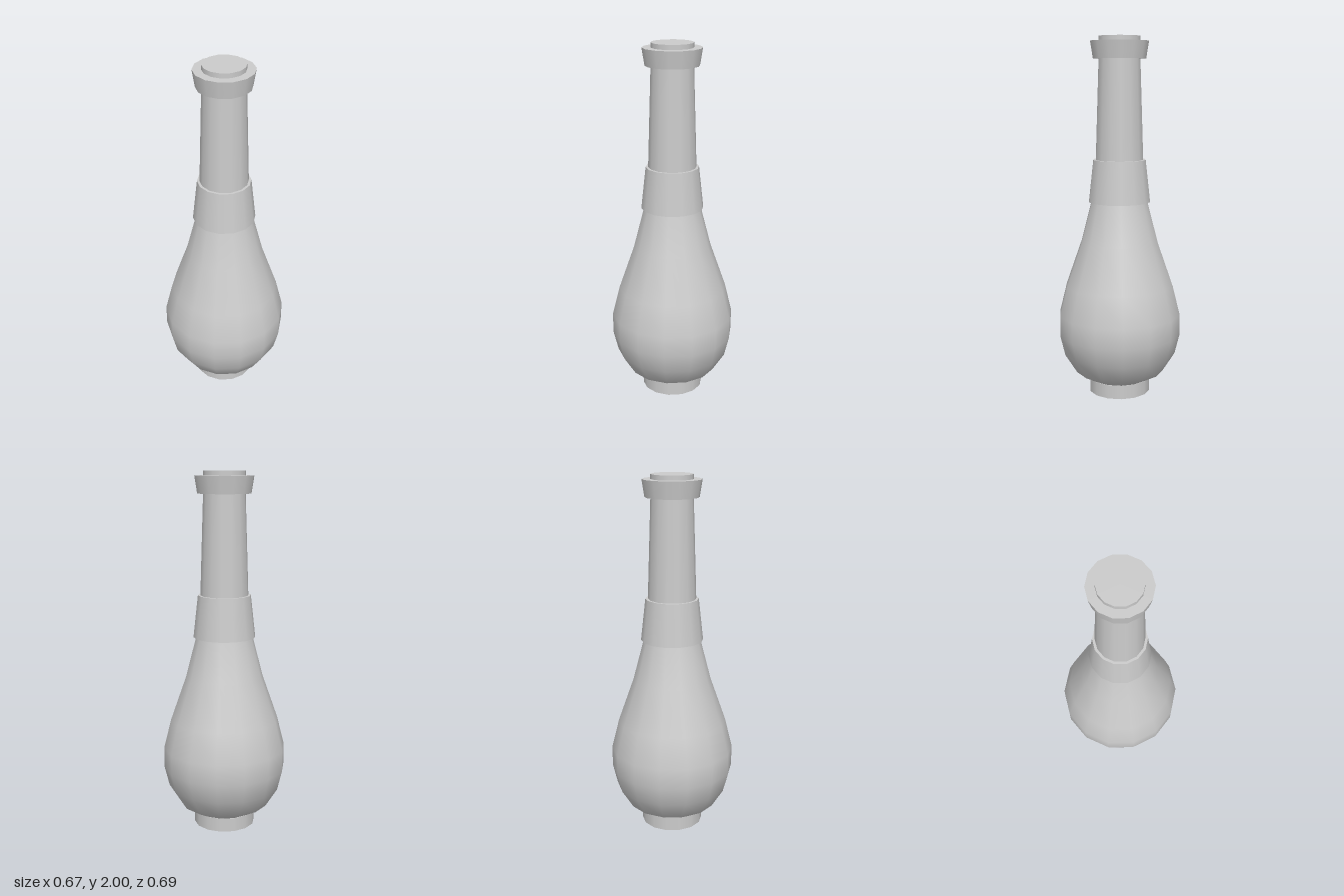
import * as THREE from 'three';

const SIDES = 14;

export function createModel() {
  const model = new THREE.Group();
  const material = new THREE.MeshStandardMaterial({ color: 0xcccccc });

  const add = (name, geometry, y = 0) => {
    const mesh = new THREE.Mesh(geometry, material);
    mesh.name = name;
    mesh.position.y = y;
    model.add(mesh);
  };
  // Capped, tapered ring or plug between two heights
  const band = (name, y0, r0, y1, r1) =>
    add(name, new THREE.CylinderGeometry(r1, r0, y1 - y0, SIDES), (y0 + y1) / 2);

  // Foot
  band('foot', 0, 0.172, 0.078, 0.172);

  // Bulbous body, rising into the sleeve
  const profile = [
    [0.165, 0.076], [0.25, 0.122], [0.318, 0.23], [0.345, 0.34], [0.345, 0.455],
    [0.304, 0.62], [0.217, 0.868], [0.157, 1.1], [0.145, 1.16],
  ].map(([r, y]) => new THREE.Vector2(r, y));
  add('body', new THREE.LatheGeometry(profile, SIDES));

  // Sleeve, neck, flared lip and stopper
  band('sleeve', 1.095, 0.173, 1.33, 0.147);
  band('neck', 1.3, 0.134, 1.89, 0.115);
  band('lip', 1.88, 0.147, 1.974, 0.162);
  band('stopper', 1.96, 0.115, 2, 0.115);

  return model;
}
